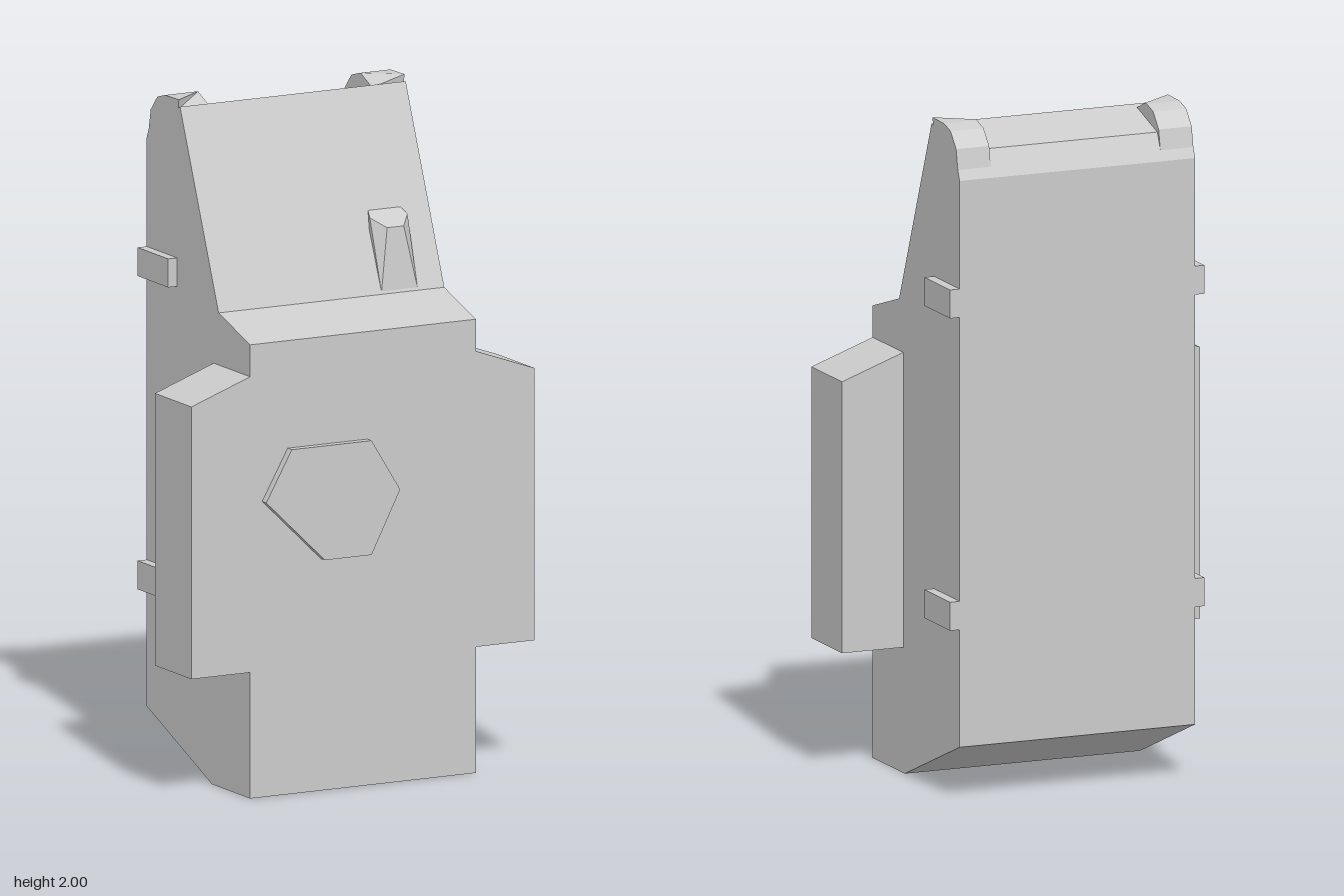
import * as THREE from 'three';
import { ConvexGeometry } from 'three/addons/geometries/ConvexGeometry.js';

const material = new THREE.MeshStandardMaterial({ color: 0xcccccc, flatShading: true });

function extrude(points, depth) {
  const shape = new THREE.Shape(points.map(([a, b]) => new THREE.Vector2(a, b)));
  return new THREE.ExtrudeGeometry(shape, { depth, bevelEnabled: false });
}

// Extrude a [z, y] side profile between two x positions
function sideExtrude(points, x0, x1) {
  return extrude(points, x1 - x0).rotateY(-Math.PI / 2).translate(x1, 0, 0);
}

export function createModel() {
  const group = new THREE.Group();
  const add = (name, geometry) => {
    const mesh = new THREE.Mesh(geometry, material);
    mesh.name = name;
    group.add(mesh);
    return mesh;
  };

  // Main body with sloping upper front and undercut base
  add('body', sideExtrude([
    [0.3, 0], [0.3, 1.35], [0.11, 1.41], [-0.123, 1.98],
    [-0.29, 1.93], [-0.325, 1.85], [-0.325, 0.16], [0.07, 0],
  ], -0.375, 0.375));

  // Irregular six-sided plate on the front
  add('frontPlate', extrude([
    [-0.335, 0.88], [-0.14, 0.69], [0.015, 0.69],
    [0.11, 0.875], [0.015, 1.03], [-0.25, 1.03],
  ], 0.035).translate(0, 0, 0.29));

  // Flared peg standing on the slope
  add('peg', new ConvexGeometry([
    [0.2, 1.6, 0.083], [0.255, 1.6, 0.083], [0.29, 1.625, 0.042],
    [0.28, 1.645, 0.01], [0.175, 1.645, 0.01], [0.165, 1.625, 0.042],
    [0.168, 1.415, 0.107], [0.288, 1.415, 0.107],
    [0.288, 1.44, 0.02], [0.168, 1.44, 0.02],
  ].map((p) => new THREE.Vector3(...p))));

  for (const side of [1, -1]) {
    const label = side > 0 ? 'left' : 'right';

    // Side wing with a sloping shoulder
    const wing = [[0.36, 0.375], [0.57, 0.375], [0.57, 1.185], [0.375, 1.255], [0.36, 1.255]];
    const outline = wing.map(([x, y]) => [x * side, y]);
    add(label + 'Wing', extrude(outline, 0.22).translate(0, 0, 0.08));

    // Rounded lug at the top corner, its front cut back towards the middle
    const x0 = side > 0 ? 0.27 : -0.375;
    const lug = sideExtrude([
      [-0.13, 2], [-0.215, 1.998], [-0.26, 1.985], [-0.3, 1.94],
      [-0.312, 1.88], [-0.325, 1.85], [-0.27, 1.85], [-0.135, 1.97],
    ], x0, x0 + 0.105);
    const pos = lug.attributes.position;
    for (let i = 0; i < pos.count; i++) {
      const inner = Math.abs(pos.getX(i)) < 0.3;
      if (inner && pos.getY(i) > 1.999) pos.setZ(i, -0.205);
    }
    lug.computeVertexNormals();
    add(label + 'Lug', lug);

    // Small clips along the back edge
    for (const y of [0.553, 1.485]) {
      add(label + 'Clip', new THREE.BoxGeometry(0.05, 0.085, 0.185))
        .position.set(side * 0.38, y, -0.2325);
    }
  }
  return group;
}
